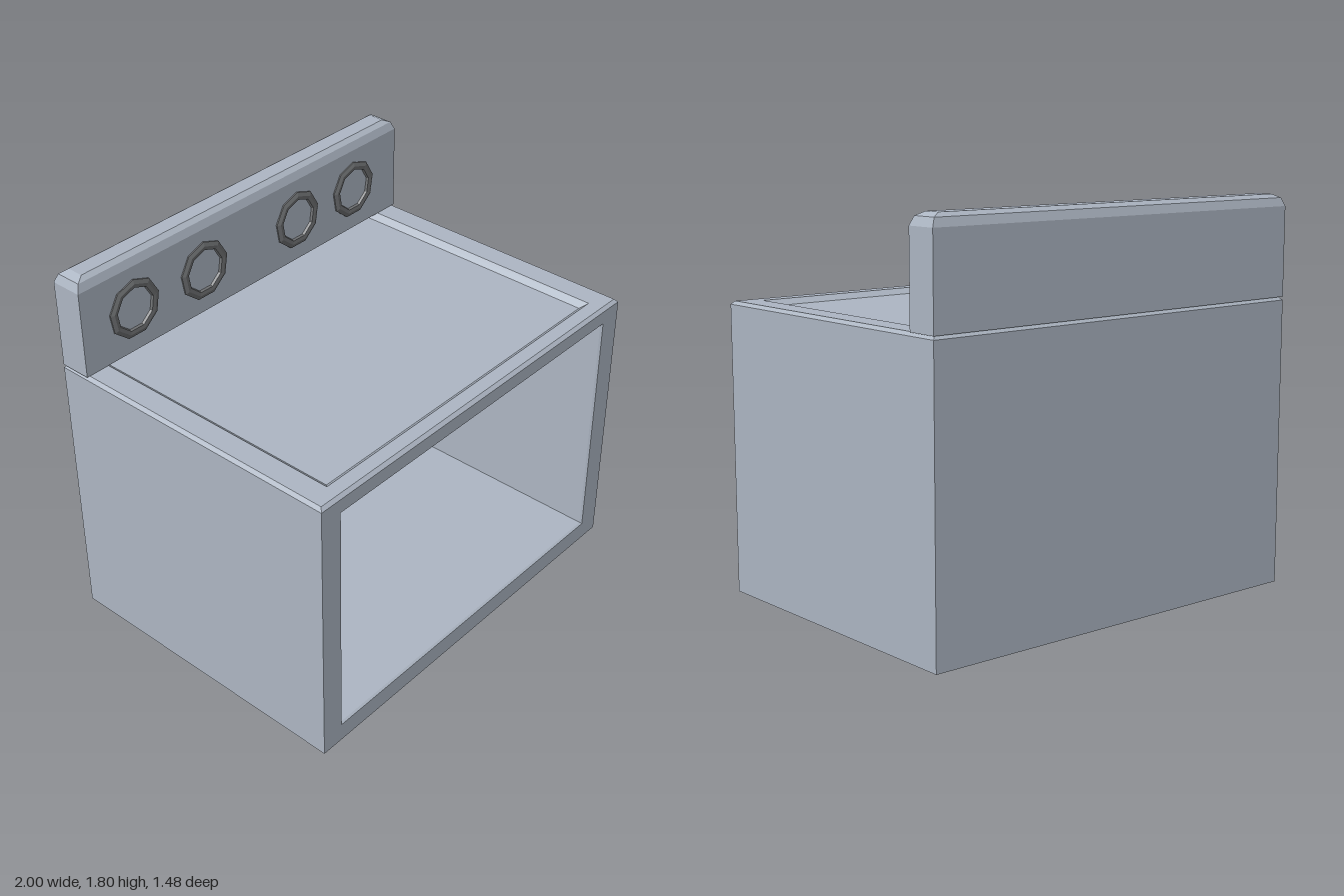
import * as THREE from 'three';

const enamel = new THREE.MeshStandardMaterial({ color: 0xadb6c3 });
enamel.name = 'blue grey enamel';
enamel.flatShading = true;
const darkMetal = new THREE.MeshStandardMaterial({ color: 0x6e7072 });
darkMetal.name = 'dark grey trim';
darkMetal.flatShading = true;

// Rectangle rings, corners counter-clockwise seen from above / from the front
const flatRing = (y, hx, z0, z1) => [[-hx, y, z1], [hx, y, z1], [hx, y, z0], [-hx, y, z0]];
const uprightRing = (z, hx, y0, y1) => [[-hx, y0, z], [hx, y0, z], [hx, y1, z], [-hx, y1, z]];

// Joins successive rings with quads and closes the last one (and the first if asked)
function loft(rings, { closeStart = false, skip = () => false } = {}) {
  const pos = [];
  const quad = (a, b, c, d) => pos.push(...a, ...b, ...c, ...a, ...c, ...d);
  for (let r = 0; r < rings.length - 1; r++) {
    const p = rings[r], q = rings[r + 1];
    for (let i = 0; i < 4; i++) {
      const j = (i + 1) % 4;
      if (!skip(r, i)) quad(p[i], p[j], q[j], q[i]);
    }
  }
  quad(...rings[rings.length - 1]);
  if (closeStart) quad(...[...rings[0]].reverse());
  const g = new THREE.BufferGeometry();
  g.setAttribute('position', new THREE.Float32BufferAttribute(pos, 3));
  g.computeVertexNormals();
  return g;
}

export function createModel() {
  const model = new THREE.Group();
  model.name = 'stove';
  const add = (name, geometry, material) => {
    const mesh = new THREE.Mesh(geometry, material);
    mesh.name = name;
    model.add(mesh);
    return mesh;
  };

  // Cabinet sides, bevelled rim and sunken cooktop; its front wall is made below
  add('cabinet', loft([
    flatRing(0, 1, -0.74, 0.74),
    flatRing(1.325, 1, -0.74, 0.74),
    flatRing(1.34, 0.985, -0.725, 0.725),
    flatRing(1.34, 0.88, -0.66, 0.66),
    flatRing(1.315, 0.85, -0.63, 0.63),
  ], { closeStart: true, skip: (r, i) => r === 0 && i === 0 }), enamel);

  // Front frame, bevelled opening and oven cavity
  add('ovenCavity', loft([
    uprightRing(0.74, 1, 0, 1.325),
    uprightRing(0.74, 0.89, 0.09, 1.26),
    uprightRing(0.73, 0.883, 0.097, 1.253),
    uprightRing(-0.27, 0.883, 0.097, 1.253),
  ]), enamel);

  // Control panel with a rounded top
  add('controlPanel', loft([
    flatRing(1.34, 1, -0.74, -0.59),
    flatRing(1.75, 1, -0.74, -0.59),
    flatRing(1.788, 0.983, -0.727, -0.603),
    flatRing(1.805, 0.945, -0.703, -0.625),
  ], { closeStart: true }), enamel);

  // Nine-sided dial rings
  const profile = [[0.141, -0.002], [0.141, 0.006], [0.122, 0.013], [0.104, 0.011], [0.099, -0.002]]
    .map(([r, h]) => new THREE.Vector2(r, h));
  const ring = new THREE.LatheGeometry(profile, 9, Math.PI).rotateX(Math.PI / 2);
  [-0.71, -0.295, 0.305, 0.695].forEach((x, i) => {
    add('dialRing' + (i + 1), ring, darkMetal).position.set(x, 1.55, -0.59);
  });

  return model;
}
